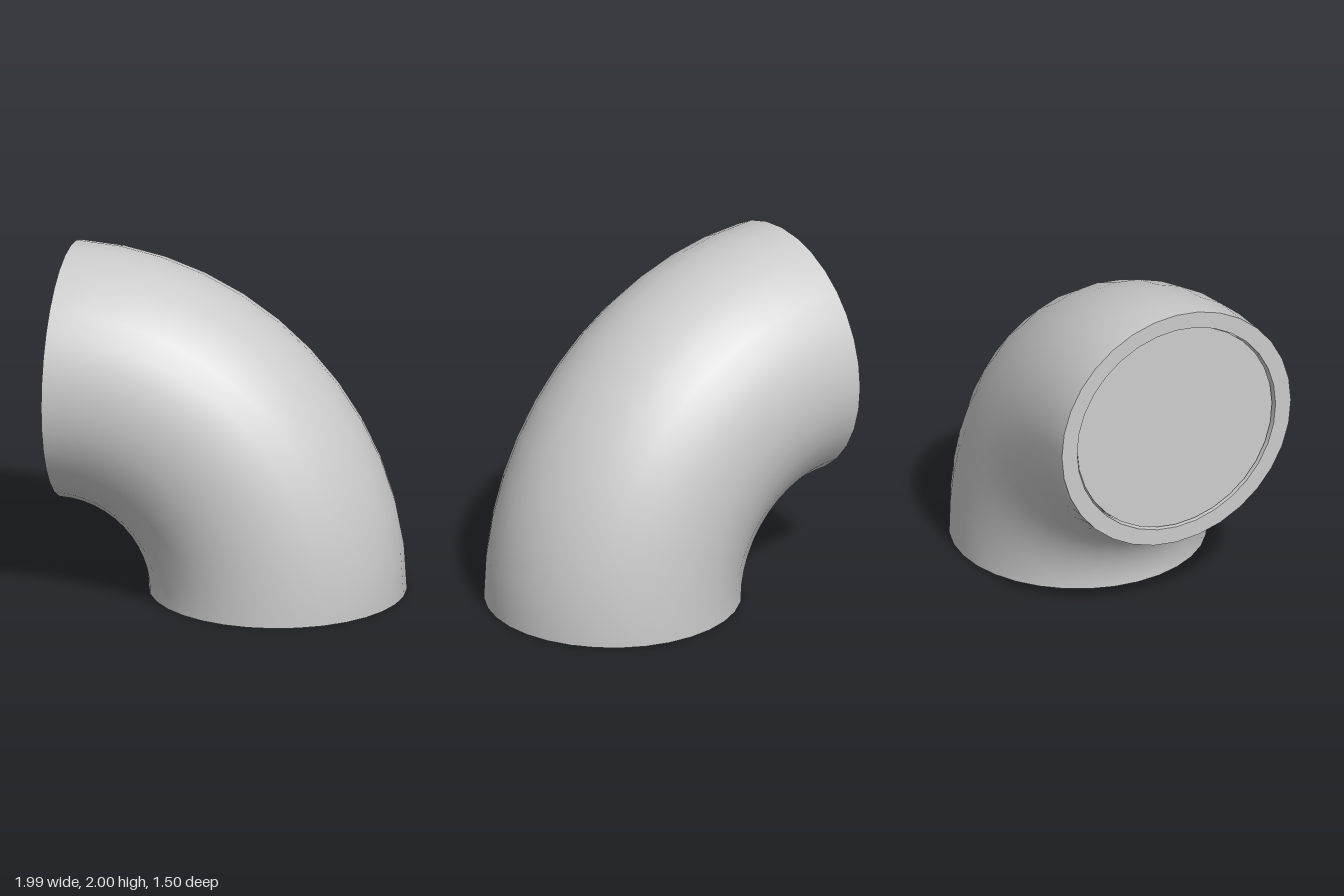
import * as THREE from 'three';

const BEND = 1.235;   // bend radius of the centre line
const OUTER = 0.75;   // outside radius of the pipe
const BORE = 0.65;    // inside radius of the pipe
const CORE = 0.638;   // plug filling the bore
const LIP = 0.015;    // short straight lip at the lower end
const SIDES = 32, STEPS = 12;

export function createModel() {
  const group = new THREE.Group();
  group.name = 'pipeElbow';
  const grey = new THREE.MeshStandardMaterial({ color: 0xcccccc });
  const inward = new THREE.MeshStandardMaterial({ color: 0xcccccc, side: THREE.BackSide });

  const add = (name, geometry, material = grey) => {
    const mesh = new THREE.Mesh(geometry, material);
    mesh.name = name;
    group.add(mesh);
    return mesh;
  };
  const bend = (radius, arc = Math.PI / 2) => new THREE.TorusGeometry(BEND, radius, SIDES, STEPS, arc);
  const lip = (radius) =>
    new THREE.CylinderGeometry(radius, radius, LIP, SIDES, 1, true).translate(BEND, -LIP / 2, 0);

  // Flat face across the pipe at an angle of the bend, facing out of either end
  const endFace = (geometry, angle, start) =>
    geometry.rotateX(start ? Math.PI / 2 : -Math.PI / 2).translate(BEND, 0, 0).rotateZ(angle);

  // Pipe wall, outside and inside
  add('outerWall', bend(OUTER));
  add('outerLip', lip(OUTER));
  add('boreWall', bend(BORE), inward);
  add('boreLip', lip(BORE), inward);

  // Flat rims closing the wall thickness
  const rim = () => new THREE.RingGeometry(BORE, OUTER, SIDES);
  add('lowerRim', endFace(rim(), 0, true).translate(0, -LIP, 0));
  add('upperRim', endFace(rim(), Math.PI / 2, false));

  // Core inside the bore, set back slightly from both rims
  const coreArc = Math.PI / 2 - 0.018;
  add('core', bend(CORE, coreArc));
  add('lowerCoreFace', endFace(new THREE.CircleGeometry(CORE, SIDES), 0, true));
  add('upperCoreFace', endFace(new THREE.CircleGeometry(CORE, SIDES), coreArc, false));

  group.position.set(-(BEND + OUTER) / 2, LIP, 0);
  return group;
}
